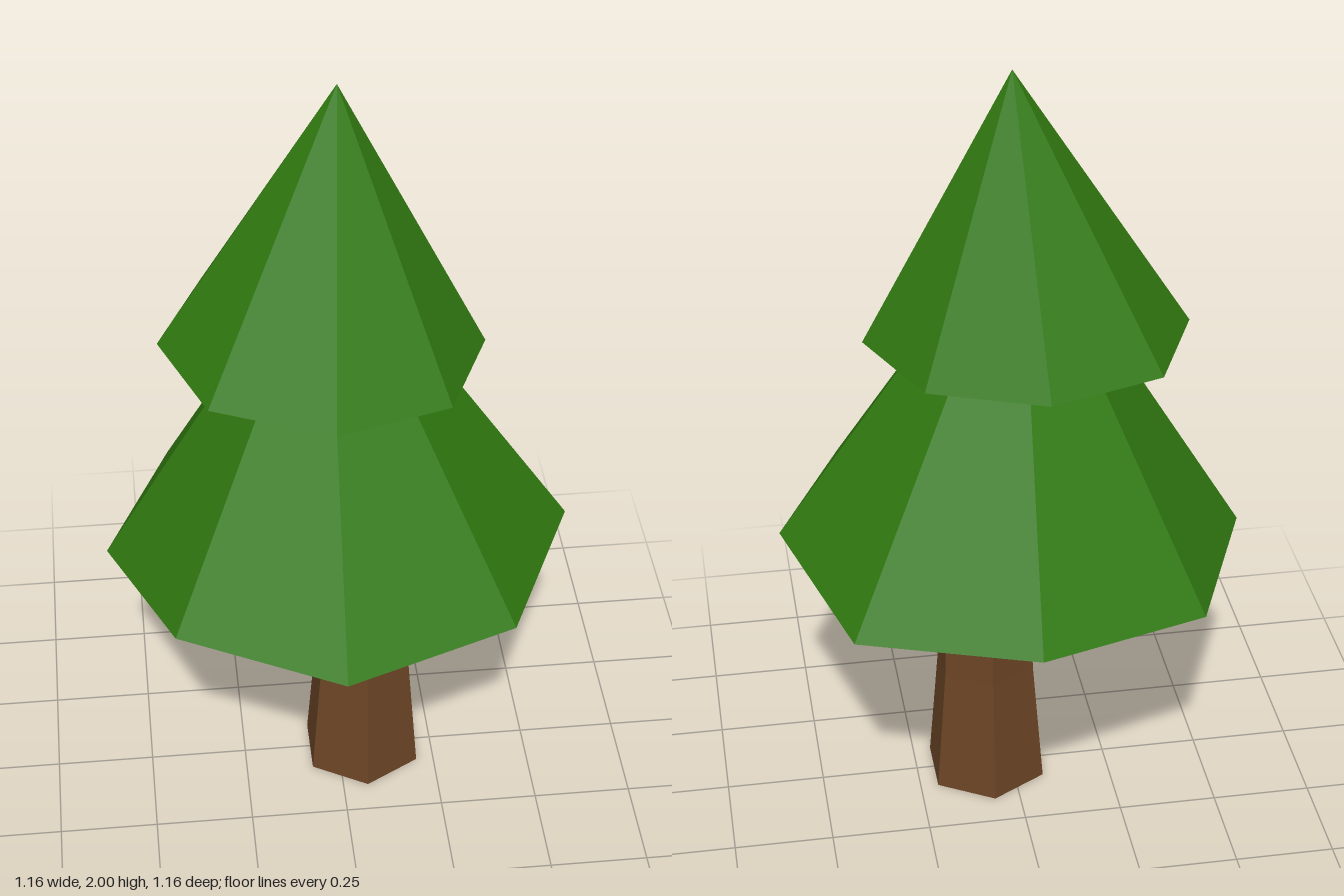
import * as THREE from 'three';

const leafGreen = new THREE.MeshStandardMaterial({ color: 0x317a10, flatShading: true });
leafGreen.name = 'leafGreen';
const barkBrown = new THREE.MeshStandardMaterial({ color: 0x6b4526, flatShading: true });
barkBrown.name = 'barkBrown';

// Irregular cone: rim points run clockwise seen from above, starting at the back
function foliageTier(name, apex, rim) {
  const points = [];
  const n = rim.length;
  for (let i = 0; i < n; i++) points.push(apex, rim[(i + 1) % n], rim[i]);
  // Underside, fanned from the back left corner
  for (let i = 2; i <= n; i++) points.push(rim[1], rim[i % n], rim[(i + 1) % n]);
  const geometry = new THREE.BufferGeometry();
  geometry.setAttribute('position', new THREE.Float32BufferAttribute(points.flat(), 3));
  geometry.computeVertexNormals();
  const mesh = new THREE.Mesh(geometry, leafGreen);
  mesh.name = name;
  return mesh;
}

// Six-sided trunk section
function trunkSection(name, rTop, rBottom, y0, y1, open) {
  const geometry = new THREE.CylinderGeometry(rTop, rBottom, y1 - y0, 6, 1, open);
  const mesh = new THREE.Mesh(geometry, barkBrown);
  mesh.position.set(0.065, (y0 + y1) / 2, 0);
  mesh.name = name;
  return mesh;
}

export function createModel() {
  const tree = new THREE.Group();
  tree.name = 'pineTree';

  // Trunk flares towards the ground
  const trunk = new THREE.Group();
  trunk.name = 'trunk';
  trunk.add(trunkSection('trunkBase', 0.132, 0.161, 0, 0.34, false));
  trunk.add(trunkSection('trunkUpper', 0.114, 0.132, 0.34, 0.8, true));
  tree.add(trunk);

  // Wide lower tier
  tree.add(foliageTier('lowerFoliage', [-0.02, 1.65, -0.03], [
    [0.015, 0.73, -0.583], [0.44, 0.706, -0.405], [0.58, 0.77, 0.01], [0.39, 0.755, 0.42],
    [-0.035, 0.75, 0.578], [-0.43, 0.77, 0.39], [-0.583, 0.715, -0.02], [-0.41, 0.704, -0.425],
  ]));

  // Narrow upper tier
  tree.add(foliageTier('upperFoliage', [0.005, 2, -0.063], [
    [-0.03, 1.315, -0.408], [0.245, 1.305, -0.282], [0.36, 1.304, -0.012], [0.245, 1.3, 0.245],
    [-0.037, 1.308, 0.34], [-0.325, 1.315, 0.218], [-0.43, 1.32, -0.055], [-0.31, 1.318, -0.32],
  ]));

  return tree;
}
